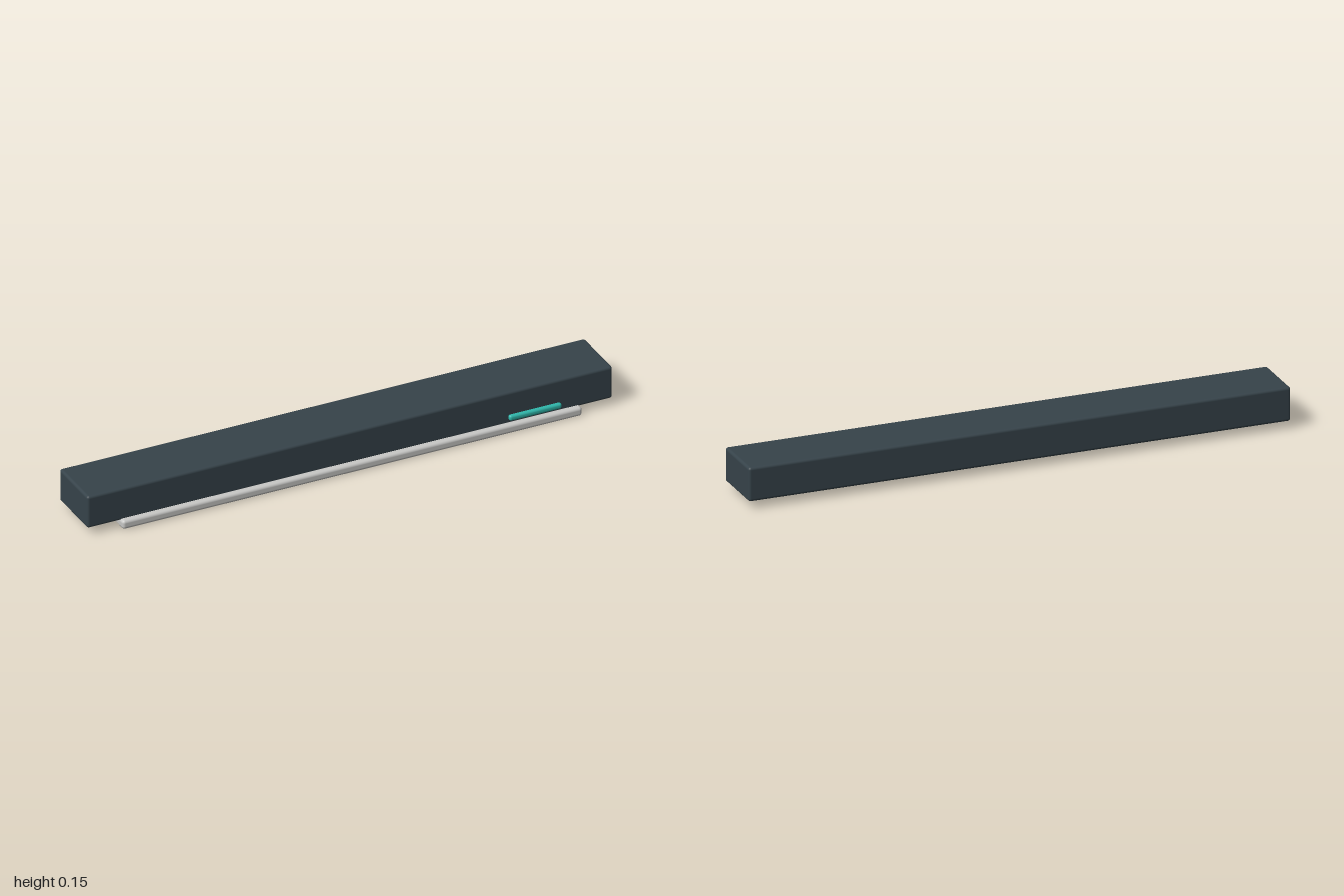
import * as THREE from 'three';
import { RoundedBoxGeometry } from 'three/addons/geometries/RoundedBoxGeometry.js';

function material(name, color) {
  const m = new THREE.MeshStandardMaterial({ color });
  m.name = name;
  return m;
}

// Rounded box given by its extents along each axis
function roundedBar(name, [x0, x1], [y0, y1], [z0, z1], radius, mat) {
  const geometry = new RoundedBoxGeometry(x1 - x0, y1 - y0, z1 - z0, 4, radius);
  const mesh = new THREE.Mesh(geometry, mat);
  mesh.position.set((x0 + x1) / 2, (y0 + y1) / 2, (z0 + z1) / 2);
  mesh.name = name;
  return mesh;
}

export function createModel() {
  const slate = material('dark slate', 0x36434a);
  const grey = material('light grey', 0xc8c8c6);
  const teal = material('teal', 0x2fb8ac);

  const group = new THREE.Group();
  group.name = 'bar';
  group.add(
    // Long main housing
    roundedBar('housing', [-1, 1], [0.027, 0.152], [-0.118, 0.099], 0.01, slate),
    // Thin plate under the housing, jutting out at the front
    roundedBar('bottomPlate', [-0.875, 0.875], [0, 0.034], [-0.038, 0.12], 0.011, grey),
    // Small rounded indicator strip on the front
    roundedBar('indicatorStrip', [0.6, 0.8], [0.045, 0.067], [0.098, 0.116], 0.009, teal)
  );
  return group;
}
